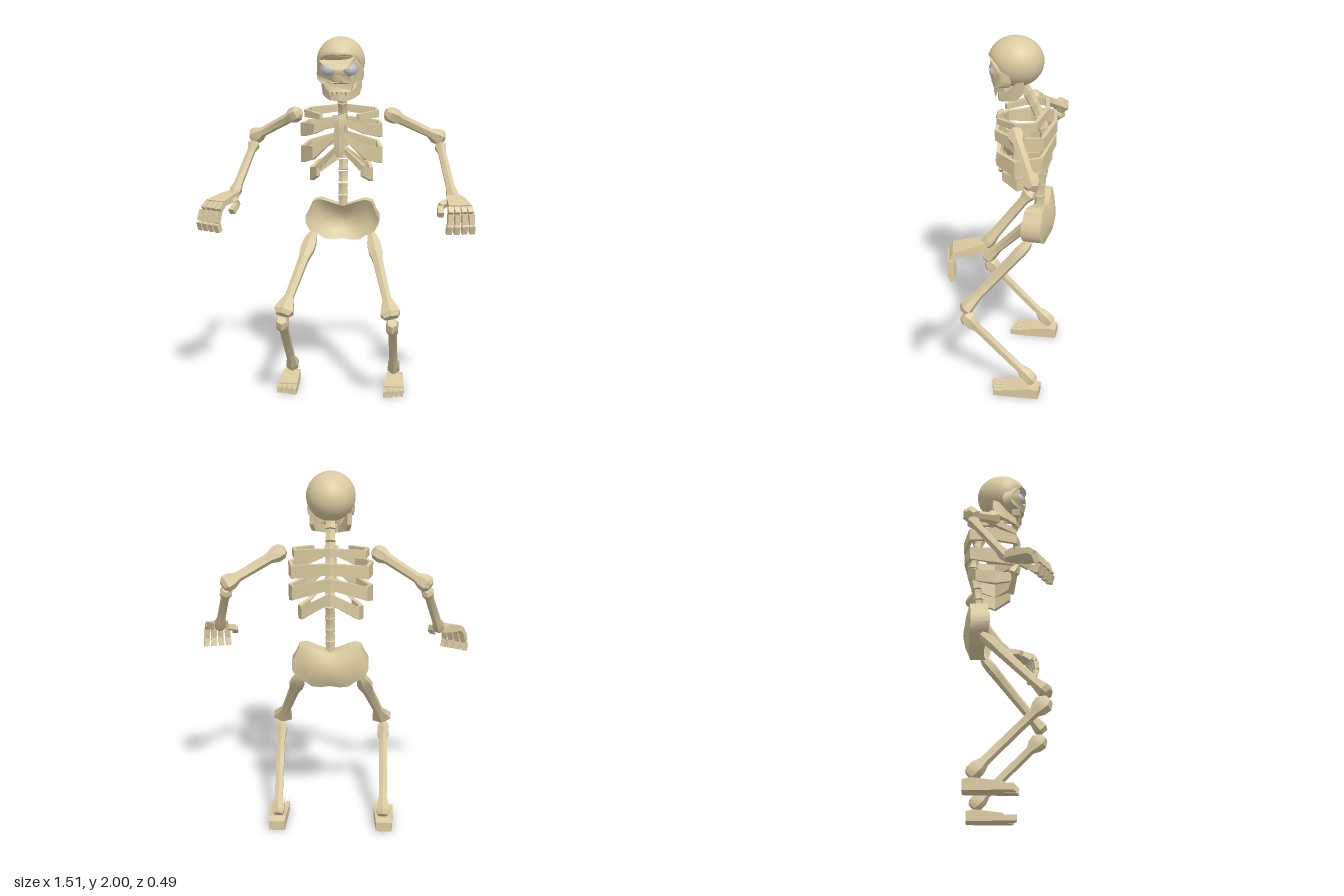
import * as THREE from 'three';
import { toCreasedNormals } from 'three/addons/utils/BufferGeometryUtils.js';

const V = (x, y, z) => new THREE.Vector3(x, y, z);
const boneMat = new THREE.MeshStandardMaterial({ color: 0xdacaa0 });
const eyeMat = new THREE.MeshStandardMaterial({ color: 0xc4c6d0 });

function add(parent, name, geo, mat = boneMat) {
  const m = new THREE.Mesh(geo, mat);
  m.name = name;
  parent.add(m);
  return m;
}

// Skin a closed, capped surface over rings of equal point count
function loft(rings, crease = 0.5) {
  const n = rings[0].length, last = (rings.length - 1) * n, idx = [];
  for (let i = 0; i < rings.length - 1; i++) for (let j = 0; j < n; j++) {
    const a = i * n + j, b = i * n + (j + 1) % n;
    idx.push(a, b, b + n, a, b + n, a + n);
  }
  for (let j = 1; j < n - 1; j++) idx.push(0, j + 1, j, last, last + j, last + j + 1);
  const g = new THREE.BufferGeometry().setFromPoints(rings.flat());
  g.setIndex(idx);
  return toCreasedNormals(g, crease);
}

// Faceted bone from a to b; profile rows are [t, halfWidth, halfDepth]
function bone(parent, name, a, b, profile, sides = 6) {
  const d = b.clone().sub(a), dir = d.clone().normalize();
  const u = V(1, 0, 0).addScaledVector(dir, -dir.x).normalize();
  const w = dir.clone().cross(u);
  const rings = profile.map(([t, rx, rz = rx]) => Array.from({ length: sides }, (_, j) => {
    const q = (j + 0.5) / sides * Math.PI * 2;
    return a.clone().addScaledVector(d, t).addScaledVector(u, rx * Math.cos(q)).addScaledVector(w, rz * Math.sin(q));
  }));
  return add(parent, name, loft(rings));
}

// Upright strap along a path; rows are [x, y, z, height]
function strap(parent, name, rows, thick) {
  const p = rows.map(r => V(r[0], r[1], r[2]));
  const rings = p.map((c, i) => {
    const d = p[Math.min(i + 1, p.length - 1)].clone().sub(p[Math.max(i - 1, 0)]).setY(0).normalize();
    const side = V(0, 1, 0).cross(d).multiplyScalar(thick / 2), h = rows[i][3] / 2;
    return [[1, 1], [-1, 1], [-1, -1], [1, -1]].map(([s, k]) => c.clone().addScaledVector(side, s).add(V(0, k * h, 0)));
  });
  return add(parent, name, loft(rings, 0.3));
}
// Half path from the right side to the middle, mirrored to the left
const mirrored = half => [...half, ...half.slice(0, -1).reverse().map(([x, ...r]) => [-x, ...r])];

function makeSkull() {
  const g = new THREE.Group();
  g.name = 'skull';
  // Cranium, pushed back behind the eyes
  const c = new THREE.SphereGeometry(1, 32, 24), p = c.attributes.position;
  for (let i = 0; i < p.count; i++) {
    const y = p.getY(i) * 0.13, z = p.getZ(i) * 0.145;
    const k = THREE.MathUtils.clamp((0.025 - y) / 0.03, 0, 1);
    p.setXYZ(i, p.getX(i) * 0.13, y + 1.87, z - 0.03 - k * Math.max(0, z - 0.07) * 0.8);
  }
  c.computeVertexNormals();
  add(g, 'cranium', c);

  // Face with slanted eye holes and a nose hole, following the cranium's curve
  const pts = a => a.map(([x, y]) => new THREE.Vector2(x, y));
  const half = [[0, 1.9], [0.03, 1.905], [0.06, 1.903], [0.085, 1.895], [0.108, 1.875], [0.122, 1.84], [0.126, 1.8], [0.12, 1.77],
    [0.1, 1.755], [0.075, 1.75], [0.064, 1.715], [0.035, 1.708]];
  const shape = new THREE.Shape(pts([...half, ...half.slice(1).reverse().map(([x, y]) => [-x, y])]));
  const eye = [[0.018, 1.822], [0.038, 1.83], [0.06, 1.841], [0.095, 1.86], [0.1, 1.83], [0.085, 1.802], [0.056, 1.791], [0.028, 1.8]];
  shape.holes.push(new THREE.Path(pts(eye)), new THREE.Path(pts(eye.map(([x, y]) => [-x, y]))),
    new THREE.Path(pts([[0, 1.795], [0.018, 1.76], [0, 1.767], [-0.018, 1.76]])));
  const f = new THREE.ExtrudeGeometry(shape, { depth: 0.045, bevelEnabled: false }), q = f.attributes.position;
  for (let i = 0; i < q.count; i++) {
    const x = q.getX(i), y = q.getY(i);
    const round = Math.sqrt(Math.max(0, 1 - (x / 0.136) ** 2 - (Math.max(0, y - 1.87) / 0.13) ** 2));
    q.setZ(i, q.getZ(i) - 0.072 + 0.145 * round - Math.max(0, 1.86 - y) * 0.2);
  }
  add(g, 'face', toCreasedNormals(f, 0.8));

  for (const s of [-1, 1]) {
    add(g, 'eye', new THREE.SphereGeometry(0.036, 20, 14).translate(s * 0.058, 1.826, 0.062), eyeMat);
    for (const [x, l] of [[0.013, 0.018], [0.036, 0.032]]) {
      add(g, 'upperTooth', new THREE.ConeGeometry(0.01, l, 5).rotateX(Math.PI).translate(s * x, 1.712 - l / 2, 0.07));
      add(g, 'lowerTooth', new THREE.ConeGeometry(0.008, 0.022, 5).translate(s * (x + 0.01), 1.703, 0.046));
    }
  }
  strap(g, 'jaw', mirrored([[-0.1, 1.76, -0.085, 0.06], [-0.09, 1.735, -0.05, 0.09], [-0.07, 1.7, 0, 0.05],
    [-0.042, 1.682, 0.042, 0.04], [0, 1.678, 0.055, 0.036]]), 0.022);
  return g;
}

function makeTorso() {
  const g = new THREE.Group();
  g.name = 'torso';
  // Vertebrae spaced along the spine
  const spine = new THREE.CatmullRomCurve3([V(0, 1.76, -0.06), V(0, 1.58, -0.155), V(0, 1.4, -0.195), V(0, 1.2, -0.165), V(0, 1.05, -0.16)]);
  for (let i = 0, n = 11; i < n; i++) {
    bone(g, 'vertebra', spine.getPointAt(i / n), spine.getPointAt((i + 0.88) / n), [[0, 0.03], [0.5, 0.026], [1, 0.03]], 6);
  }
  // Ribs
  strap(g, 'topRib', mirrored([[-0.1, 1.575, 0.045, 0.03], [-0.195, 1.585, -0.07, 0.04], [-0.18, 1.59, -0.165, 0.045], [0, 1.61, -0.2, 0.04]]), 0.022);
  strap(g, 'upperRib', mirrored([[-0.015, 1.55, 0.055, 0.03], [-0.135, 1.51, 0.045, 0.055], [-0.215, 1.495, -0.07, 0.075],
    [-0.195, 1.505, -0.205, 0.07], [0, 1.53, -0.24, 0.06]]), 0.022);
  strap(g, 'middleRib', mirrored([[-0.015, 1.48, 0.055, 0.03], [-0.14, 1.38, 0.035, 0.075], [-0.215, 1.36, -0.07, 0.09],
    [-0.19, 1.39, -0.2, 0.075], [0, 1.45, -0.235, 0.06]]), 0.022);
  strap(g, 'lowerRib', mirrored([[-0.12, 1.275, 0.015, 0.05], [-0.165, 1.25, -0.07, 0.075], [-0.145, 1.275, -0.17, 0.07], [0, 1.365, -0.215, 0.055]]), 0.022);
  for (const s of [-1, 1]) bone(g, 'ribCartilage', V(s * 0.015, 1.41, 0.055), V(s * 0.12, 1.3, 0.02), [[0, 0.014], [1, 0.024]], 4);
  bone(g, 'sternum', V(0, 1.585, 0.055), V(0, 1.36, 0.055),
    [[0, 0.042, 0.016], [0.13, 0.046, 0.022], [0.28, 0.03, 0.022], [0.85, 0.033, 0.02], [1, 0.018, 0.012]], 6);

  // Pelvis bowl, hollow in front; rows are [x, bottom, top]
  const half = [[-0.205, 0.965, 1.01], [-0.185, 0.925, 1.045], [-0.165, 0.91, 1.09], [-0.13, 0.895, 1.1],
    [-0.1, 0.872, 1.092], [-0.05, 0.867, 1.075], [0, 0.875, 1.06]];
  const levels = [-1, -0.5, 0, 0.5, 1];
  add(g, 'pelvis', loft(mirrored(half).map(([x, lo, hi]) => {
    const e = (x / 0.205) ** 2, y = t => (lo + hi) / 2 + t * (hi - lo) / 2;
    const back = levels.map(t => V(x, y(t), -0.245 + 0.045 * e + 0.035 * t * t * (1 - e)));
    const front = levels.map(t => V(x, y(t), -0.195 + 0.1 * e + 0.065 * t * t * (1 - e)));
    return [...back, ...front.reverse()];
  }), 0.7));
  return g;
}

// Hand with curled fingers; s is -1 or 1 for the body side, reach sets how far they extend
function makeHand(s, wrist, yaw, reach) {
  const g = new THREE.Group();
  g.name = 'hand';
  add(g, 'palm', loft([[0, 0.032, 0.018], [0.06, 0.05, 0.02], [0.16, 0.062, 0.015]].map(([z, w, h]) =>
    [V(-w, -h, z), V(w, -h, z), V(w, h, z), V(-w, h, z)]), 0.2));
  for (let i = 0; i < 4; i++) {
    const x = -0.05 + i * 0.0333;
    const j = [V(x, 0, 0.155), V(x * 1.1, -0.025, 0.175 + reach * 0.5), V(x * 1.2, -0.085, 0.185 + reach), V(x * 1.28, -0.135, 0.18 + reach)];
    for (let k = 0; k < 3; k++) bone(g, 'finger', j[k], j[k + 1], [[0.04, 0.022], [0.94, 0.02]], 4);
  }
  const t = [V(-s * 0.045, -0.01, 0.05), V(-s * 0.09, -0.02, 0.085), V(-s * 0.1, -0.045, 0.15)];
  for (let k = 0; k < 2; k++) bone(g, 'thumb', t[k], t[k + 1], [[0.1, 0.021], [0.95, 0.023]], 4);
  g.position.copy(wrist);
  g.rotation.set(0.2, yaw, 0, 'YXZ');
  return g;
}

function makeArm(s, shoulder, elbow, wrist, yaw, reach) {
  const g = new THREE.Group();
  g.name = s > 0 ? 'leftArm' : 'rightArm';
  bone(g, 'upperArm', shoulder, elbow, [[-0.1, 0.022], [-0.04, 0.042], [0.08, 0.045], [0.2, 0.029], [0.8, 0.027], [0.92, 0.044], [1.03, 0.046], [1.09, 0.025]]);
  const top = elbow.clone().add(V(s * 0.008, -0.045, 0.008));
  bone(g, 'forearm', top, wrist, [[-0.05, 0.022], [0.02, 0.037], [0.14, 0.024], [0.8, 0.026], [0.93, 0.036], [1.03, 0.026]]);
  g.add(makeHand(s, wrist, yaw, reach));
  return g;
}

function makeLeg(s) {
  const g = new THREE.Group();
  g.name = s > 0 ? 'leftLeg' : 'rightLeg';
  bone(g, 'thighBone', V(s * 0.165, 0.9, -0.13), V(s * 0.29, 0.53, 0.19),
    [[-0.02, 0.02], [0.03, 0.03], [0.12, 0.042, 0.034], [0.22, 0.044, 0.032], [0.34, 0.031], [0.82, 0.027], [0.93, 0.05, 0.036], [1, 0.062, 0.042], [1.05, 0.042, 0.028]]);
  bone(g, 'shinBone', V(s * 0.3, 0.46, 0.18), V(s * 0.297, 0.115, -0.16),
    [[-0.07, 0.028, 0.03], [0, 0.038, 0.052], [0.08, 0.036, 0.045], [0.15, 0.026], [0.87, 0.026], [0.95, 0.036, 0.042], [1.04, 0.04, 0.044], [1.09, 0.03, 0.03]]);
  // Foot wedge and toes
  const x = s * 0.303;
  add(g, 'foot', loft([[-0.225, 0.045, 0.055], [-0.18, 0.048, 0.064], [-0.02, 0.056, 0.042]].map(([z, w, h]) =>
    [V(x - w, 0, z), V(x + w, 0, z), V(x + w, h, z), V(x - w, h, z)]), 0.1));
  for (let i = 0; i < 4; i++) {
    const l = 0.075 - i * 0.008;
    add(g, 'toe', new THREE.BoxGeometry(0.025, 0.034, l).translate(x + s * (i - 1.5) * 0.029, 0.017, -0.022 + l / 2));
  }
  return g;
}

export function createModel() {
  const model = new THREE.Group(), body = new THREE.Group();
  model.name = 'skeleton';
  body.name = 'body';
  body.position.x = 0.006;
  body.add(makeSkull(), makeTorso(), makeLeg(-1), makeLeg(1));
  model.add(body,
    makeArm(-1, V(-0.245, 1.58, -0.08), V(-0.495, 1.445, -0.195), V(-0.585, 1.14, -0.005), -0.53, 0.05),
    makeArm(1, V(0.275, 1.58, -0.08), V(0.54, 1.445, -0.215), V(0.62, 1.14, -0.005), 0.24, 0.015));
  return model;
}
